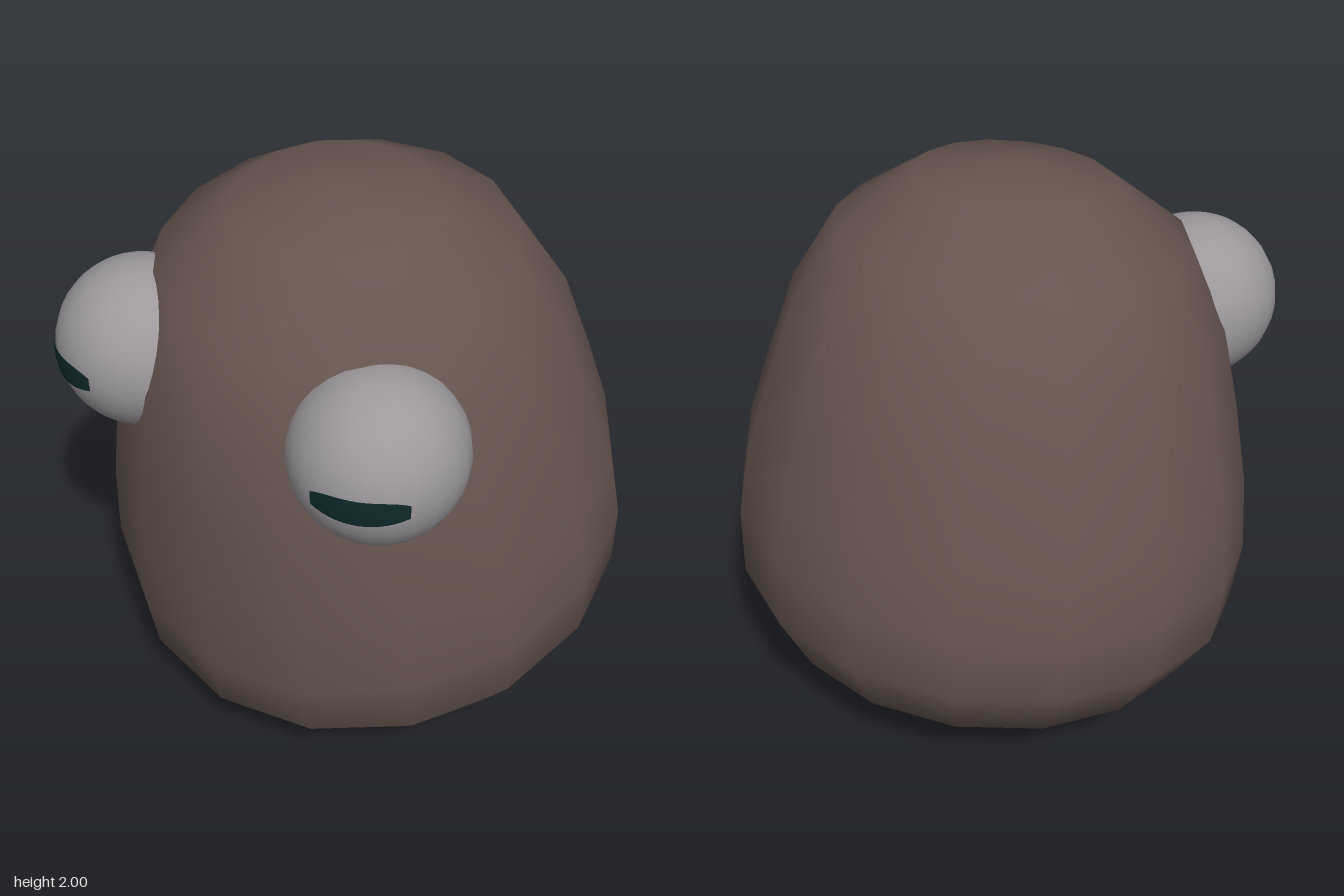
import * as THREE from 'three';

const bodyBrown = new THREE.MeshStandardMaterial({ color: 0x66554f });
const eyeGrey = new THREE.MeshStandardMaterial({ color: 0x9c989c });
const pupilTeal = new THREE.MeshStandardMaterial({ color: 0x0e2829 });

// Tilted rings, top to bottom: front z, front y, back z, back y, half width, side y
const RINGS = [
  [0.48, 1.90, -0.14, 1.98, 0.33, 1.94],
  [0.72, 1.69, -0.42, 1.84, 0.59, 1.76],
  [0.82, 1.40, -0.60, 1.59, 0.73, 1.50],
  [0.85, 1.10, -0.70, 1.33, 0.81, 1.23],
  [0.86, 0.78, -0.79, 1.07, 0.88, 0.96],
  [0.855, 0.48, -0.84, 0.83, 0.91, 0.72],
  [0.82, 0.28, -0.86, 0.60, 0.89, 0.49],
  [0.69, 0.16, -0.76, 0.37, 0.76, 0.28],
  [0.35, 0.04, -0.47, 0.14, 0.42, 0.09],
];
const TOP = [0, 2.0, 0.18];
const BOTTOM = [0, 0.005, -0.07];
const SIDES = 16;

function makeGeometry(positions, index) {
  const g = new THREE.BufferGeometry();
  g.setAttribute('position', new THREE.Float32BufferAttribute(positions, 3));
  g.setIndex(index);
  g.computeVertexNormals();
  return g;
}

// Lumpy egg: rings joined by quads, closed by a point at each end
function bodyGeometry() {
  const pos = [...TOP];
  for (const [fz, fy, bz, by, w, sy] of RINGS) {
    for (let j = 0; j < SIDES; j++) {
      const a = (j / SIDES) * Math.PI * 2;
      const s = Math.sin(a), c = Math.cos(a);
      const mid = (fy + by) / 2;
      pos.push(w * s, mid + ((fy - by) / 2) * c + (sy - mid) * s * s, (fz + bz) / 2 + ((fz - bz) / 2) * c);
    }
  }
  pos.push(...BOTTOM);
  const last = pos.length / 3 - 1;
  const at = (i, j) => 1 + i * SIDES + (j % SIDES);
  const index = [];
  for (let j = 0; j < SIDES; j++) {
    index.push(0, at(0, j), at(0, j + 1));
    for (let i = 0; i < RINGS.length - 1; i++) {
      index.push(at(i, j), at(i + 1, j), at(i + 1, j + 1), at(i, j), at(i + 1, j + 1), at(i, j + 1));
    }
    index.push(at(RINGS.length - 1, j), last, at(RINGS.length - 1, j + 1));
  }
  return makeGeometry(pos, index);
}

// Narrow slit lying just off the eyeball, turned towards the given side
const EYE_R = 0.28;
function pupilGeometry(side) {
  const cols = 14, rows = 3, r = EYE_R + 0.004;
  const pos = [], index = [];
  for (let i = 0; i <= cols; i++) {
    const t = (i / cols) * 2 - 1;
    const az = THREE.MathUtils.degToRad(side * 24.5 + 31.5 * t);
    const top = 0.037 - 0.02 * t ** 4, low = -0.055 + 0.024 * t * t;
    for (let k = 0; k <= rows; k++) {
      const y = THREE.MathUtils.lerp(top, low, k / rows);
      const flat = Math.sqrt(r * r - y * y);
      pos.push(flat * Math.sin(az), y, flat * Math.cos(az));
      if (i < cols && k < rows) {
        const a = i * (rows + 1) + k, d = a + rows + 1;
        index.push(a, a + 1, d + 1, a, d + 1, d);
      }
    }
  }
  return makeGeometry(pos, index);
}

export function createModel() {
  const model = new THREE.Group();
  model.name = 'bigEyedCreature';
  const add = (parent, name, geometry, material) => {
    const mesh = new THREE.Mesh(geometry, material);
    mesh.name = name;
    parent.add(mesh);
    return mesh;
  };

  add(model, 'body', bodyGeometry(), bodyBrown);

  // Bulging eyes, each with a dark slit
  for (const [name, side] of [['left', 1], ['right', -1]]) {
    const eye = new THREE.Group();
    eye.name = name + 'Eye';
    eye.position.set(side * 0.475, 1.438, 0.565);
    add(eye, name + 'Eyeball', new THREE.SphereGeometry(EYE_R, 24, 16), eyeGrey);
    add(eye, name + 'Pupil', pupilGeometry(side), pupilTeal);
    model.add(eye);
  }
  return model;
}
